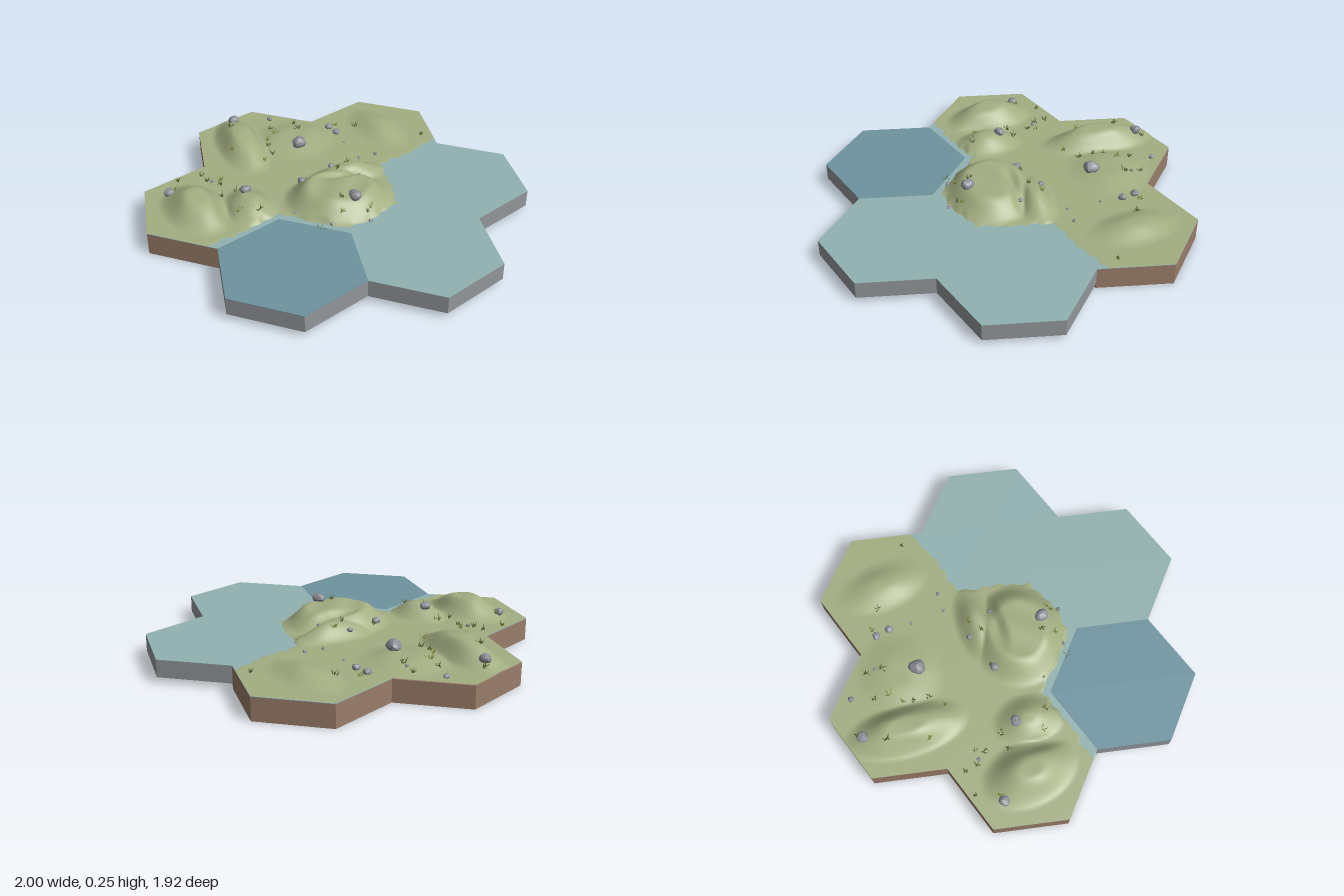
import * as THREE from 'three';
import { mergeGeometries, mergeVertices } from 'three/addons/utils/BufferGeometryUtils.js';

const R = 0.385, A = 1 / 3, ROW = 0.577;
const LAND = [[-A, -ROW], [A, -ROW], [-2 * A, 0], [0, 0]];
const SHALLOW = [[2 * A, 0], [A, ROW]];
const DEEP = [[-A, ROW]];

const mat = (name, color) => {
  const m = new THREE.MeshStandardMaterial({ color });
  m.name = name;
  return m;
};

function seeded(seed) {
  return () => {
    seed = (seed * 16807) % 2147483647;
    return seed / 2147483647;
  };
}

const smooth = THREE.MathUtils.smoothstep;

// Rounded hill: full height inside the fraction `flat`, falling to zero at the rim
function hill(x, z, cx, cz, rx, rz, turn, h, flat = 0) {
  const c = Math.cos(turn), s = Math.sin(turn), dx = x - cx, dz = z - cz;
  const r = Math.hypot((dx * c + dz * s) / rx, (dz * c - dx * s) / rz);
  return h * (1 - smooth(r, flat, 1));
}

// Distance outside a hexagonal tile
function hexDistance(x, z, [cx, cz]) {
  const dx = Math.abs(x - cx), dz = Math.abs(z - cz);
  return Math.max(dx, dx / 2 + dz * 0.866) - A;
}

function groundHeight(x, z) {
  let h = Math.max(
    hill(x, z, 0, 0.07, 0.3, 0.26, 0, 0.09, 0.5),             // central dome
    hill(x, z, 0.08, -0.14, 0.26, 0.12, -0.2, 0.075, 0.1),    // crest behind it
    hill(x, z, -0.74, 0.03, 0.18, 0.27, -0.35, 0.09, 0.22),   // left hill
    hill(x, z, -0.47, 0.06, 0.15, 0.2, -0.2, 0.07, 0.1),      // left shoulder
    hill(x, z, -0.44, -0.57, 0.15, 0.34, -0.15, 0.09, 0.25),  // back ridge
    hill(x, z, -0.14, -0.58, 0.26, 0.24, 0, 0.03, 0.2),       // back rise
    hill(x, z, 0.37, -0.62, 0.15, 0.27, -0.3, 0.04, 0.1)      // small right ridge
  );
  h -= hill(x, z, 0.06, -0.045, 0.2, 0.06, -0.2, 0.035);      // hollow in the dome
  h -= hill(x, z, -0.61, 0.1, 0.06, 0.17, -0.2, 0.02);        // gully
  h = Math.max(h, 0);
  let y = 0.1225 + h + 0.04 * h * Math.sin(x * 31 + z * 17);
  // Wavy shore dipping under the water
  const d = Math.min(...[...SHALLOW, ...DEEP].map((t) => hexDistance(x, z, t)));
  const wave = 0.012 + 0.009 * Math.sin(x * 38 + z * 23) + 0.007 * Math.sin(z * 71 - x * 47);
  const shore = smooth(d - wave, -0.012, 0.04);
  return THREE.MathUtils.lerp(0.112, y, shore);
}

// Finely divided hexagons joined into one smooth ground surface
function groundGeometry() {
  const pos = [], n = 32;
  for (const [cx, cz] of LAND) {
    for (let k = 0; k < 6; k++) {
      const a = k * Math.PI / 3, b = a + Math.PI / 3;
      const put = (i, j) => {
        const x = cx + R * (i * Math.sin(a) + j * Math.sin(b)) / n;
        const z = cz + R * (i * Math.cos(a) + j * Math.cos(b)) / n;
        pos.push(x, groundHeight(x, z), z);
      };
      for (let i = 0; i < n; i++) {
        for (let j = 0; j < n - i; j++) {
          put(i, j); put(i + 1, j); put(i, j + 1);
          if (i + j < n - 1) { put(i + 1, j); put(i + 1, j + 1); put(i, j + 1); }
        }
      }
    }
  }
  const raw = new THREE.BufferGeometry();
  raw.setAttribute('position', new THREE.Float32BufferAttribute(pos, 3));
  const g = mergeVertices(raw, 1e-4);
  g.computeVertexNormals();
  return g;
}

// Hexagonal slabs between two heights
function slabs(tiles, y0, y1) {
  return mergeGeometries(tiles.map(([x, z]) => {
    const g = new THREE.CylinderGeometry(R, R, y1 - y0, 6).toNonIndexed();
    g.translate(x, (y0 + y1) / 2, z);
    g.computeVertexNormals();
    return g;
  }));
}

// Faceted boulder with uneven corners
function rockGeometry(x, z, r, i) {
  const g = new THREE.IcosahedronGeometry(r, r > 0.02 ? 1 : 0);
  const p = g.attributes.position, v = new THREE.Vector3();
  for (let k = 0; k < p.count; k++) {
    v.fromBufferAttribute(p, k);
    const s = 1 + 0.16 * Math.sin(v.x / r * 3.1 + i) * Math.cos(v.z / r * 2.7 + i * 2 + v.y / r);
    p.setXYZ(k, v.x * s, v.y * s * 0.8, v.z * s);
  }
  g.rotateY(i * 1.3);
  g.translate(x, groundHeight(x, z) + r * 0.4, z);
  g.computeVertexNormals();
  return g;
}

// Tuft of thin leaning blades
function tuftGeometry(x, z, rand) {
  const blades = [];
  for (let k = 0; k < 6; k++) {
    const h = 0.02 + 0.016 * rand();
    const g = new THREE.ConeGeometry(0.004, h, 3);
    g.translate(0, h / 2, 0);
    g.rotateZ(-0.3 - 0.6 * rand());
    g.rotateY(k * Math.PI / 3 + rand());
    g.translate(x + (rand() - 0.5) * 0.022, groundHeight(x, z) - 0.002, z + (rand() - 0.5) * 0.022);
    blades.push(g);
  }
  return mergeGeometries(blades);
}

export function createModel() {
  const group = new THREE.Group();
  const add = (name, geometry, material) => {
    const m = new THREE.Mesh(geometry, material);
    m.name = name;
    group.add(m);
  };
  const soil = mat('soil', 0x997d69);
  const stone = mat('grey base', 0x92969a);
  const grass = mat('grass', 0xa3ae82);
  const shallow = mat('shallow water', 0x92b2b1);
  const deep = mat('deep water', 0x6d939f);
  const rock = mat('rock', 0x8c8d95);
  const darkLeaf = mat('dark leaf', 0x59672f);
  const paleLeaf = mat('pale leaf', 0x8b9440);

  // Tile bases and water
  add('landBases', slabs(LAND, 0, 0.118), soil);
  add('waterBases', slabs([...SHALLOW, ...DEEP], 0.028, 0.118), stone);
  add('shallowWater', slabs([...SHALLOW, ...LAND.slice(1)], 0.118, 0.1205), shallow);
  add('deepWater', slabs(DEEP, 0.118, 0.1205), deep);
  add('ground', groundGeometry(), grass);

  // Boulders: x, z, radius
  const rocks = [
    [-0.46, -0.79, 0.03], [-0.24, -0.84, 0.017], [0.09, -0.68, 0.021], [0.12, -0.61, 0.022],
    [-0.12, -0.48, 0.042], [-0.64, -0.22, 0.014], [-0.87, -0.12, 0.027], [-0.48, -0.01, 0.029],
    [-0.17, -0.08, 0.022], [0.01, -0.19, 0.018], [0.29, -0.33, 0.012], [0.19, -0.31, 0.01],
    [0.14, -0.07, 0.014], [0.06, 0.2, 0.035], [-0.08, 0.3, 0.012], [0.12, 0.3, 0.014],
    [-0.1, -0.7, 0.011], [-0.25, 0.17, 0.008], [0.14, -0.49, 0.008]
  ];
  add('rocks', mergeGeometries(rocks.map((r, i) => rockGeometry(...r, i))), rock);

  // Grass tufts: x, z
  const tufts = [
    [-0.25, -0.72], [-0.24, -0.64], [-0.11, -0.75], [-0.1, -0.66], [-0.29, -0.58], [-0.29, -0.52],
    [-0.28, -0.44], [-0.34, -0.36], [-0.49, -0.66], [-0.44, -0.82], [0.13, -0.7], [0.24, -0.66],
    [0.6, -0.5], [-0.5, -0.45], [-0.69, -0.29], [-0.67, -0.23], [-0.59, -0.23], [-0.6, -0.18],
    [-0.82, -0.26], [-0.84, -0.13], [-0.6, -0.06], [-0.52, -0.09], [-0.53, 0.13], [-0.43, 0.15],
    [0.03, -0.12], [0.09, -0.18], [-0.15, -0.1], [-0.01, 0.19], [-0.02, 0.26], [-0.14, 0.31],
    [0.11, 0.26], [0.14, 0.23]
  ];
  const rand = seeded(71);
  const pick = (odd) => mergeGeometries(tufts.filter((t, i) => (i % 3 === 1) === odd)
    .map(([x, z]) => tuftGeometry(x, z, rand)));
  add('darkTufts', pick(false), darkLeaf);
  add('paleTufts', pick(true), paleLeaf);

  return group;
}
